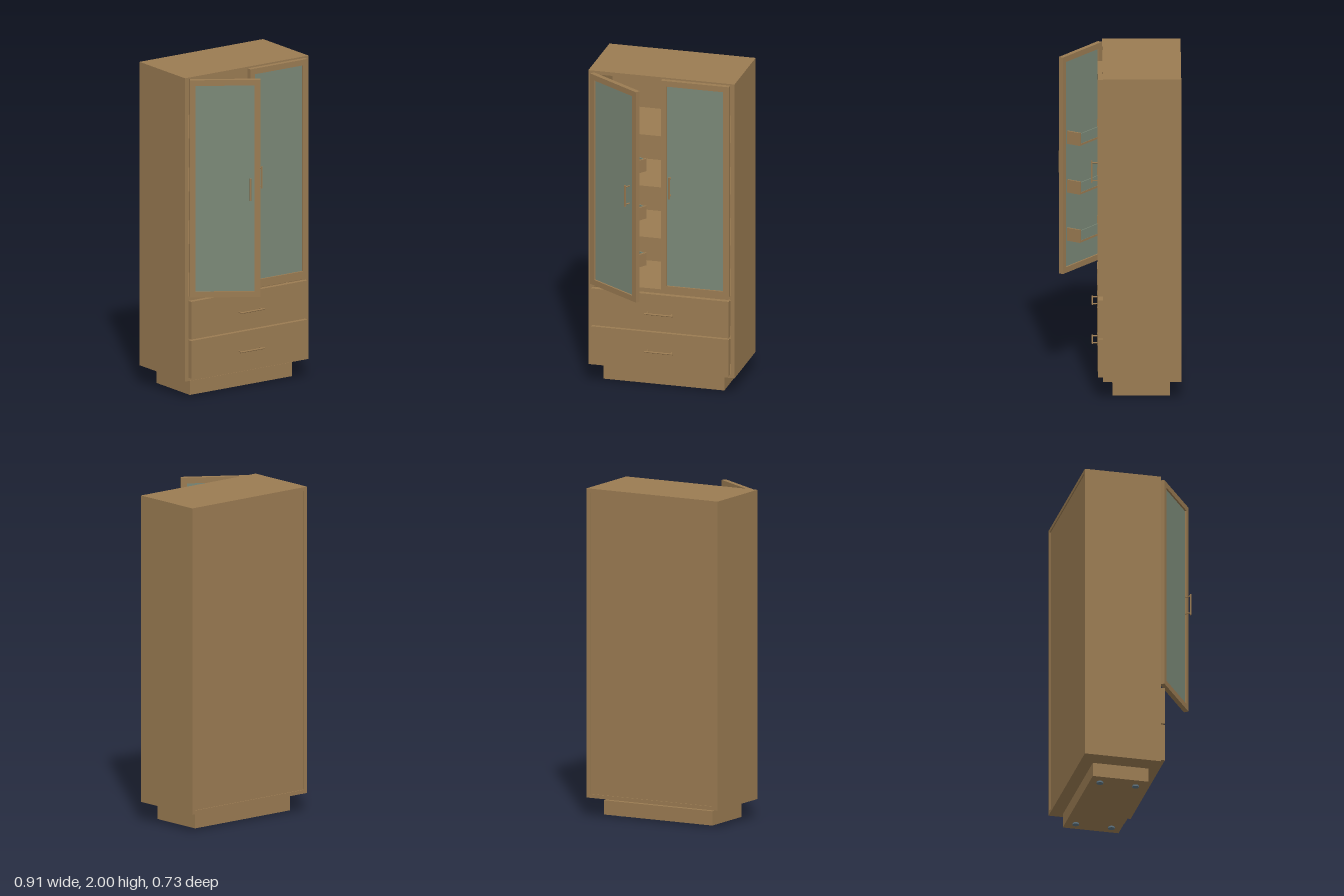
import * as THREE from 'three';

export function createModel() {
  const wood = new THREE.MeshStandardMaterial({ color: 0x9a7b52 });
  wood.name = 'oak wood';
  const glass = new THREE.MeshStandardMaterial({ color: 0x7a8877 });
  glass.name = 'grey green glass';
  const steel = new THREE.MeshStandardMaterial({ color: 0x5f7480 });
  steel.name = 'steel';

  const root = new THREE.Group();
  root.name = 'displayCabinet';

  // Box given by its lower and upper bounds on each axis
  function box(parent, name, x0, x1, y0, y1, z0, z1, mat = wood) {
    const mesh = new THREE.Mesh(new THREE.BoxGeometry(x1 - x0, y1 - y0, z1 - z0), mat);
    mesh.position.set((x0 + x1) / 2, (y0 + y1) / 2, (z0 + z1) / 2);
    mesh.name = name;
    parent.add(mesh);
    return mesh;
  }

  // Round bar handle on two posts, lying along x, mounted on the plane z = 0
  function handle(length, reach) {
    const g = new THREE.Group();
    g.name = 'handle';
    const bar = new THREE.Mesh(new THREE.CylinderGeometry(0.005, 0.005, length, 16), wood);
    bar.rotation.z = Math.PI / 2;
    bar.position.z = reach;
    bar.name = 'handleBar';
    g.add(bar);
    for (const s of [-1, 1]) {
      const post = new THREE.Mesh(new THREE.CylinderGeometry(0.004, 0.004, reach, 12), wood);
      post.rotation.x = Math.PI / 2;
      post.position.set(s * (length / 2 - 0.013), 0, reach / 2);
      post.name = 'handlePost';
      g.add(post);
    }
    return g;
  }

  // Carcass
  for (const s of [-1, 1]) {
    const x = s * 0.4425;
    box(root, 'sidePanel', x - 0.0125, x + 0.0125, 0.117, 2, -0.37, 0.1);
  }
  box(root, 'topPanel', -0.43, 0.43, 1.978, 2, -0.37, 0.1);
  box(root, 'bottomPanel', -0.43, 0.43, 0.117, 0.14, -0.37, 0.1);
  box(root, 'backPanel', -0.43, 0.43, 0.14, 1.978, -0.364, -0.354);
  box(root, 'cabinetFloor', -0.43, 0.43, 0.618, 0.641, -0.354, 0.1);
  for (const y of [0.945, 1.272, 1.6]) {
    box(root, 'shelf', -0.43, 0.43, y, y + 0.02, -0.354, 0.095);
  }

  // Plinth and feet
  box(root, 'plinth', -0.378, 0.375, 0.01, 0.097, -0.302, 0.042);
  for (const x of [-0.305, 0.3]) {
    for (const z of [-0.02, -0.24]) {
      const foot = new THREE.Mesh(new THREE.CylinderGeometry(0.02, 0.02, 0.01, 20), steel);
      foot.position.set(x, 0.005, z);
      foot.name = 'foot';
      root.add(foot);
    }
  }

  // Drawers with an open box behind each front
  for (const y of [0.138, 0.381]) {
    const drawer = new THREE.Group();
    drawer.name = 'drawer';
    root.add(drawer);
    box(drawer, 'drawerFront', -0.43, 0.427, y, y + 0.234, 0.1, 0.13);
    box(drawer, 'drawerFloor', -0.4, 0.4, y + 0.03, y + 0.04, -0.33, 0.1);
    box(drawer, 'drawerBack', -0.4, 0.4, y + 0.04, y + 0.19, -0.33, -0.315);
    for (const s of [-1, 1]) {
      box(drawer, 'drawerSide', s * 0.3925 - 0.0075, s * 0.3925 + 0.0075, y + 0.04, y + 0.19, -0.315, 0.1);
    }
    const pull = handle(0.177, 0.031);
    pull.position.set(-0.002, y + 0.117, 0.13);
    drawer.add(pull);
  }

  // Framed glass door: side = 1 extends to +x from its hinge, -1 to -x
  const W = 0.423, Y0 = 0.642, Y1 = 1.99, T = 0.03, F = 0.035;
  function door(side) {
    const g = new THREE.Group();
    g.name = 'glassDoor';
    const a = side > 0 ? 0 : -W;
    box(g, 'stile', a, a + F, Y0, Y1, 0, T);
    box(g, 'stile', a + W - F, a + W, Y0, Y1, 0, T);
    box(g, 'rail', a + F, a + W - F, Y0, Y0 + F, 0, T);
    box(g, 'rail', a + F, a + W - F, Y1 - F, Y1, 0, T);
    box(g, 'glassPane', a + F, a + W - F, Y0 + F, Y1 - F, 0.011, 0.019, glass);
    const pull = handle(0.137, 0.035);
    pull.rotation.z = Math.PI / 2;
    pull.position.set(side * (W - 0.06), 1.318, T);
    g.add(pull);
    // Hinges
    for (const y of [0.78, 1.32, 1.85]) {
      const x = side * 0.026;
      box(g, 'hinge', x - 0.012, x + 0.012, y - 0.015, y + 0.015, -0.012, 0, steel);
    }
    root.add(g);
    return g;
  }

  const closedDoor = door(-1);
  closedDoor.position.set(0.428, 0, 0.1);

  const openDoor = door(1);
  openDoor.position.set(-0.42, 0, 0.1);
  openDoor.rotation.y = -0.593;

  // Storage bins on the inside of the open door
  for (const y of [0.84, 1.14, 1.443]) {
    const bin = new THREE.Group();
    bin.name = 'doorBin';
    openDoor.add(bin);
    box(bin, 'binFloor', 0.045, 0.379, y, y + 0.012, -0.092, 0);
    box(bin, 'binEnd', 0.045, 0.057, y + 0.012, y + 0.08, -0.092, 0);
    box(bin, 'binEnd', 0.367, 0.379, y + 0.012, y + 0.08, -0.092, 0);
    box(bin, 'binGlass', 0.057, 0.367, y + 0.012, y + 0.073, -0.09, -0.084, glass);
  }

  return root;
}
